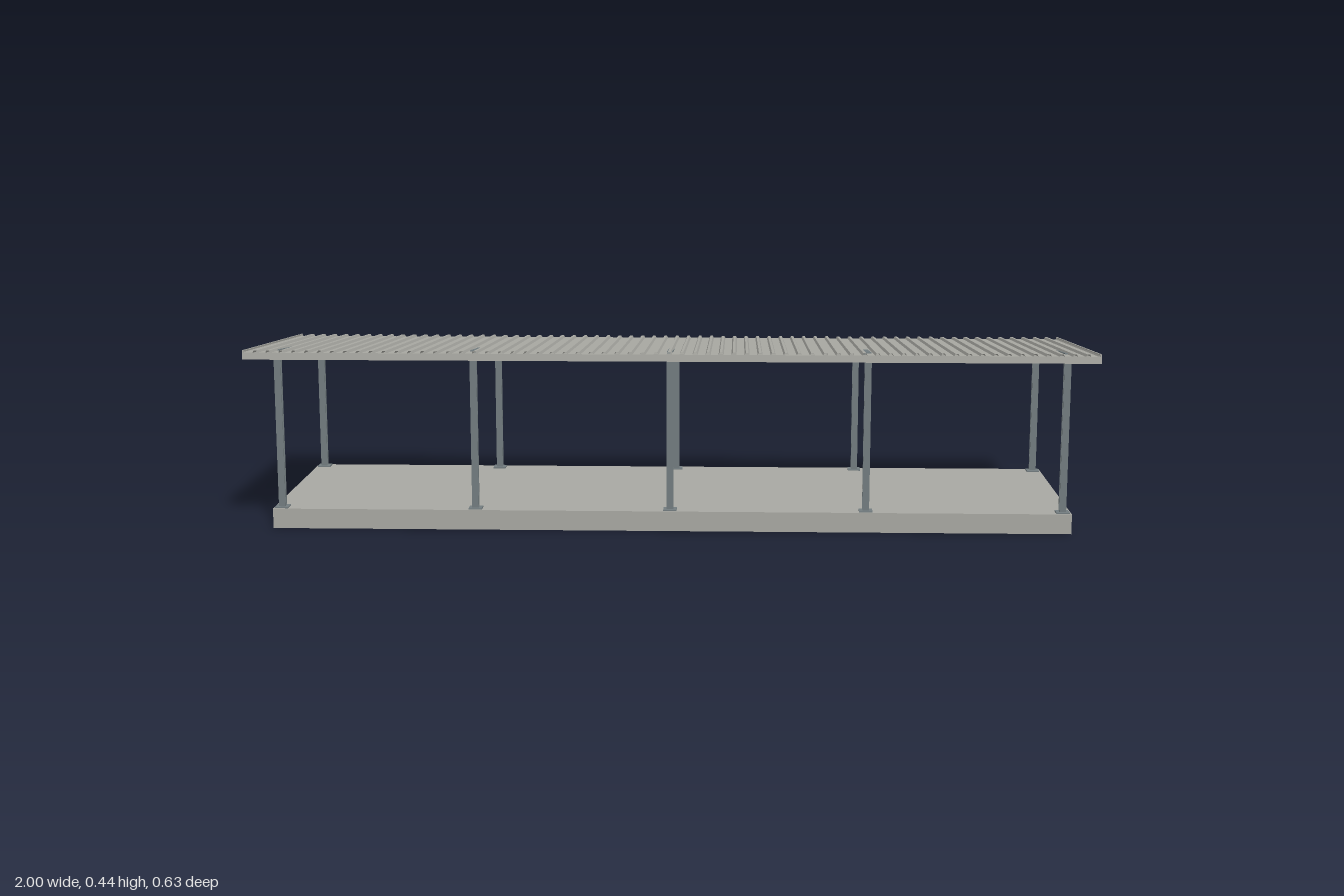
import * as THREE from 'three';

export function createModel() {
  const concrete = new THREE.MeshStandardMaterial({ color: 0xa9a9a3 });
  concrete.name = 'concrete';
  const sheetMetal = new THREE.MeshStandardMaterial({ color: 0xaaaaa4, side: THREE.DoubleSide, flatShading: true });
  sheetMetal.name = 'roofMetal';
  const steel = new THREE.MeshStandardMaterial({ color: 0x737d80 });
  steel.name = 'steel';

  const model = new THREE.Group();
  model.name = 'openShelter';

  const box = (name, parent, mat, w, h, d, x, y, z) => {
    const mesh = new THREE.Mesh(new THREE.BoxGeometry(w, h, d), mat);
    mesh.name = name;
    mesh.position.set(x, y, z);
    parent.add(mesh);
    return mesh;
  };

  // Floor slab
  const floorTop = 0.048;
  box('floorSlab', model, concrete, 1.91, floorTop, 0.527, 0, floorTop / 2, -0.0085);

  // Steel frames: two H-section columns and a sloping rafter each
  const rafterSlope = 0.095;
  const rafterBottom = (z) => 0.3957 + rafterSlope * z;
  const frontZ = 0.235, backZ = -0.25;
  for (let i = -2; i <= 2; i++) {
    const frame = new THREE.Group();
    frame.name = 'frame';
    frame.position.x = i * 0.4675;
    model.add(frame);
    for (const z of [frontZ, backZ]) {
      const top = rafterBottom(z) + 0.001;
      const h = top - floorTop;
      const y = floorTop + h / 2;
      box('columnWeb', frame, steel, 0.004, h, 0.012, 0, y, z);
      for (const s of [-1, 1]) {
        box('columnFlange', frame, steel, 0.016, h, 0.003, 0, y, z + s * 0.0065);
      }
      box('basePlate', frame, steel, 0.032, 0.003, 0.032, 0, floorTop + 0.0015, z);
    }
    const midZ = (frontZ + backZ) / 2;
    const rafter = box('rafter', frame, steel, 0.014, 0.0135, 0.49, 0, rafterBottom(midZ) + 0.0068, midZ);
    rafter.rotation.x = -Math.atan(rafterSlope);
  }

  // Sloping roof, built flat and then tilted
  const roof = new THREE.Group();
  roof.name = 'roof';
  roof.position.y = 0.406;
  roof.rotation.x = -Math.atan(0.0755);
  model.add(roof);
  const depth = 0.626, crest = 0.0108, valley = 0.0052;

  // Ribbed sheet: trapezoid ribs running down the slope
  const ribs = 66, pitch = 2 / ribs;
  const sheet = new THREE.PlaneGeometry(2, depth, ribs * 4, 1).rotateX(-Math.PI / 2);
  const pos = sheet.attributes.position;
  const offsets = [0, 0.18, 0.28, 0.72, 0.82];
  const rows = ribs * 4 + 1;
  for (let v = 0; v < pos.count; v++) {
    const col = v % rows;
    const step = col % 4;
    const t = [0.1, 0.2, 0.8, 0.9][step];
    pos.setX(v, col === 0 ? -1 : col === rows - 1 ? 1 : -1 + (Math.floor(col / 4) + t) * pitch);
    pos.setY(v, step === 0 || step === 3 ? crest : valley);
  }
  sheet.computeVertexNormals();
  const sheetMesh = new THREE.Mesh(sheet, sheetMetal);
  sheetMesh.name = 'ribbedSheet';
  roof.add(sheetMesh);

  // Edge trims
  for (const s of [-1, 1]) {
    box('sideTrim', roof, sheetMetal, 0.004, 0.022, depth, s * 0.998, 0, 0);
    box('eaveTrim', roof, sheetMetal, 1.992, 0.0165, 0.004, 0, -0.00275, s * (depth / 2 - 0.002));
  }

  // Purlins under the sheet
  for (const z of [-0.27, -0.09, 0.09, 0.27]) {
    box('purlin', roof, sheetMetal, 1.96, 0.0145, 0.012, 0, -0.0025, z);
  }

  return model;
}
